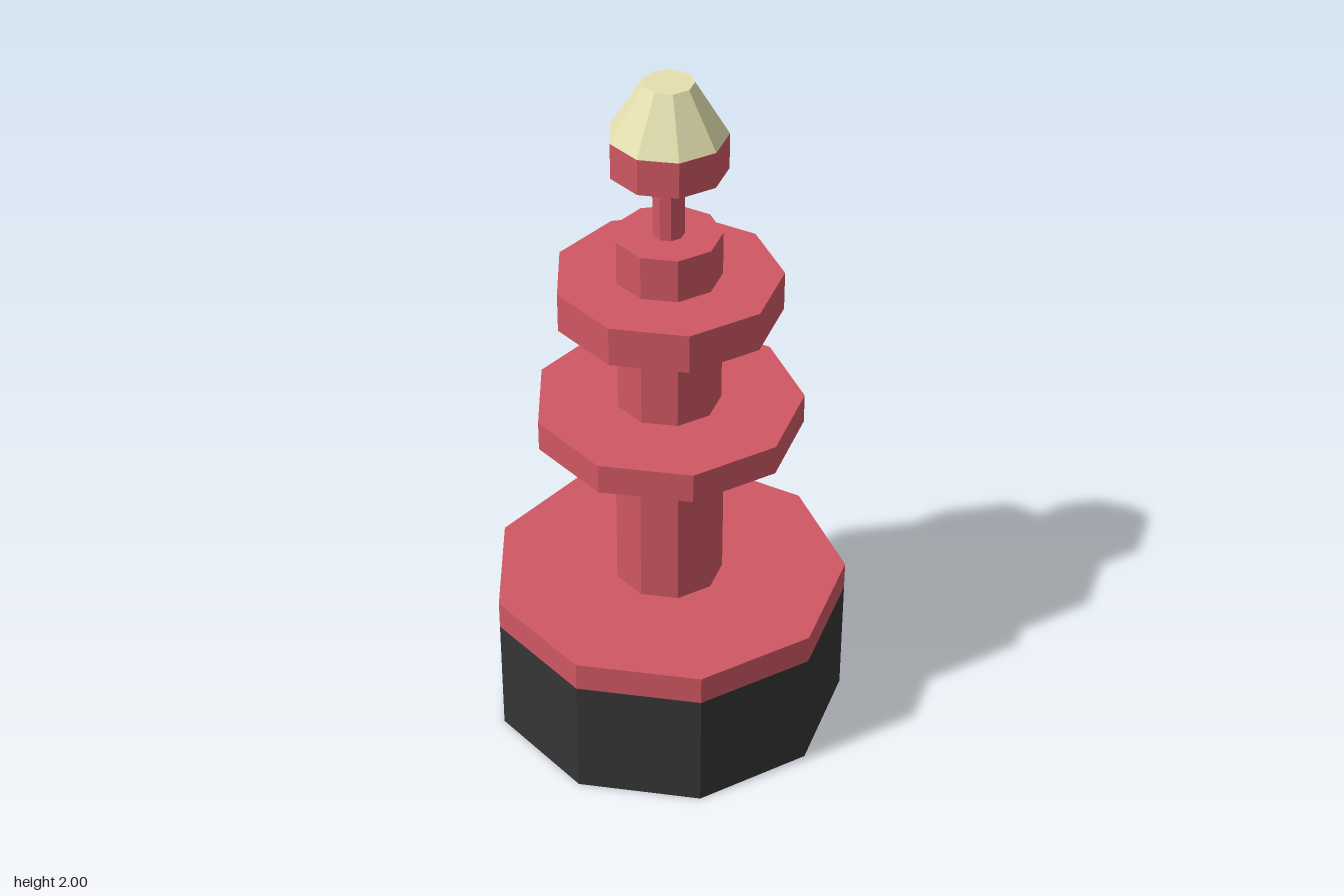
import * as THREE from 'three';

const SIDES = 9;
const paint = (color) => new THREE.MeshStandardMaterial({ color, flatShading: true, side: THREE.DoubleSide });

export function createModel() {
  const model = new THREE.Group();
  model.name = 'tieredTower';
  const red = paint(0xd05864), dark = paint(0x353535), cream = paint(0xe4e0b0);

  // Nine-sided turned part; the profile of [radius, y] runs from bottom to top.
  // One corner points to the back, one flat side to the front.
  function turned(name, material, profile) {
    const points = profile.map(([r, y]) => new THREE.Vector2(r, y));
    const mesh = new THREE.Mesh(new THREE.LatheGeometry(points, SIDES, Math.PI), material);
    mesh.name = name;
    mesh.position.z = 0.015; // centres the uneven outline front to back
    model.add(mesh);
  }

  // Hollow base, open underneath, with its thin lid
  turned('baseWall', dark, [[0.509, 0], [0.509, 0.357]]);
  turned('baseLid', red, [[0.509, 0.357], [0.509, 0.442], [0, 0.442]]);

  // Column sections and the discs between them
  turned('lowerColumn', red, [[0.155, 0.442], [0.155, 0.946]]);
  turned('lowerDisc', red, [[0.155, 0.946], [0.375, 0.946], [0.375, 1.033], [0.146, 1.033]]);
  turned('upperColumn', red, [[0.146, 1.033], [0.146, 1.317]]);
  turned('upperDisc', red, [[0.146, 1.317], [0.311, 1.317], [0.311, 1.43], [0.146, 1.43]]);
  turned('columnTop', red, [[0.146, 1.43], [0.146, 1.555], [0.044, 1.555]]);

  // Thin neck carrying the lamp
  turned('neck', red, [[0.044, 1.555], [0.044, 1.75]]);
  turned('lampCollar', red, [[0.044, 1.75], [0.159, 1.75], [0.159, 1.852]]);
  turned('lamp', cream, [[0.159, 1.852], [0.069, 2], [0, 2]]);

  return model;
}
